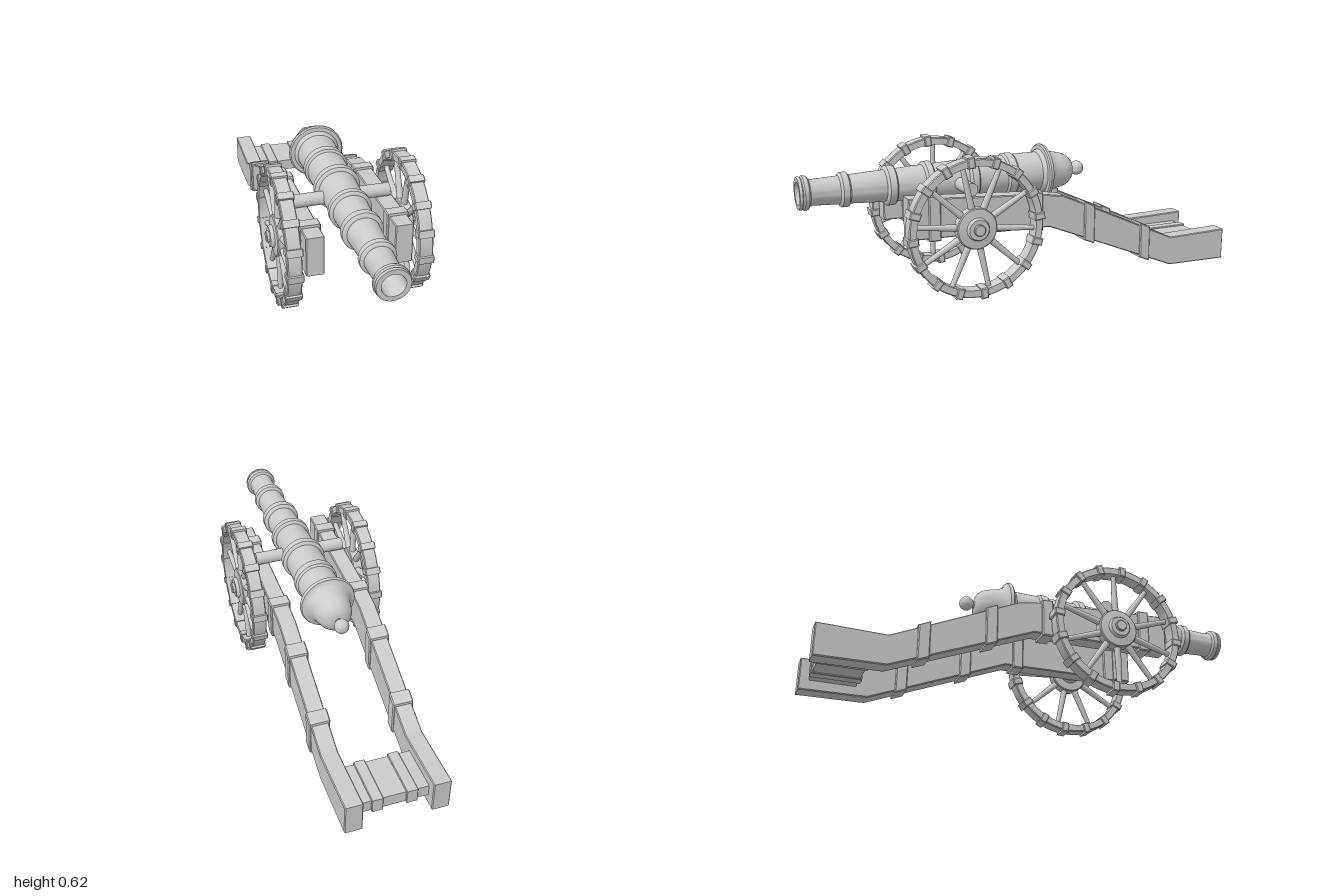
import * as THREE from 'three';
import { toCreasedNormals } from 'three/addons/utils/BufferGeometryUtils.js';

const grey = new THREE.MeshStandardMaterial({ color: 0xcccccc });

function add(parent, geometry, name) {
  const m = new THREE.Mesh(geometry, grey);
  m.name = name;
  parent.add(m);
  return m;
}

const lathe = (pts, segments) =>
  toCreasedNormals(new THREE.LatheGeometry(pts.map(p => new THREE.Vector2(p[0], p[1])), segments), 0.6);

// Extrudes a (z, y) side outline to a width along x, with a small bevel
function sideExtrude(outline, width, bevel) {
  const shape = new THREE.Shape(outline.map(p => new THREE.Vector2(p[0], p[1])));
  const depth = width - 2 * bevel;
  const g = new THREE.ExtrudeGeometry(shape, {
    depth, bevelEnabled: true, bevelSize: bevel, bevelOffset: -bevel, bevelThickness: bevel, bevelSegments: 1
  });
  g.translate(0, 0, -depth / 2);
  g.rotateY(-Math.PI / 2);
  return g;
}

// Height of a (z, y) edge line at a given z
function heightAt(line, z) {
  for (let i = 1; i < line.length; i++) {
    const [z0, y0] = line[i - 1], [z1, y1] = line[i];
    if (z <= z0 && z >= z1) return y0 + (y1 - y0) * (z0 - z) / (z0 - z1);
  }
  return line[line.length - 1][1];
}

// Barrel with breech, reinforcing rings and open bore
function makeBarrel() {
  const barrel = new THREE.Group();
  barrel.name = 'barrel';
  const pts = [];
  // button ball
  for (let i = 0; i <= 8; i++) {
    const a = -Math.PI / 2 + i * 0.33;
    pts.push([Math.max(0, 0.033 * Math.cos(a)), -0.307 + 0.033 * Math.sin(a)]);
  }
  // neck, dome and base ring
  pts.push([0.017, -0.272], [0.03, -0.27], [0.048, -0.264], [0.064, -0.25], [0.076, -0.228],
    [0.083, -0.2], [0.089, -0.17], [0.1, -0.145], [0.113, -0.134], [0.123, -0.132],
    [0.127, -0.125], [0.127, -0.118], [0.121, -0.112], [0.104, -0.11], [0.1, -0.1], [0.092, -0.092]);
  // rings on the tapering tube: centre, half width, body radius, ring radius
  const rings = [[0.05, 0.022, 0.09, 0.098], [0.235, 0.02, 0.087, 0.101], [0.435, 0.018, 0.079, 0.092],
    [0.605, 0.02, 0.071, 0.087], [0.805, 0.018, 0.062, 0.075]];
  for (const [z, h, r, R] of rings) {
    pts.push([r, z - h - 0.004], [R - 0.004, z - h], [R, z - h + 0.005], [R, z + h - 0.005],
      [R - 0.004, z + h], [r - 0.001, z + h + 0.004]);
  }
  // muzzle swell and bore
  pts.push([0.056, 0.94], [0.06, 0.953], [0.071, 0.96], [0.074, 0.968], [0.074, 0.978], [0.067, 0.984],
    [0.071, 0.988], [0.071, 0.997], [0.069, 1.0], [0.049, 1.0], [0.047, 0.995], [0.047, 0.55], [0, 0.55]);
  const tube = lathe(pts, 48);
  tube.rotateX(Math.PI / 2);
  add(barrel, tube, 'barrelTube').position.y = 0.467;
  const trunnions = new THREE.CylinderGeometry(0.029, 0.029, 0.426, 24);
  trunnions.rotateZ(Math.PI / 2);
  add(barrel, trunnions, 'trunnions').position.set(0, 0.462, 0.303);
  return barrel;
}

// Side cheek of the carriage with its iron bands
const cheekTop = [[0.59, 0.452], [-0.02, 0.415], [-0.13, 0.397], [-0.7, 0.14], [-1, 0.147]];
const cheekBottom = [[0.59, 0.272], [-0.06, 0.262], [-0.7, 0.004], [-1, 0]];

function makeCheek() {
  const cheek = new THREE.Group();
  cheek.name = 'cheek';
  add(cheek, sideExtrude([...cheekBottom, ...cheekTop.slice().reverse()].reverse(), 0.078, 0.004), 'cheekBeam');
  for (const z of [0.475, 0, -0.26, -0.555]) {
    const a = z + 0.028, b = z - 0.025;
    const outline = [[a, heightAt(cheekBottom, a) - 0.011], [a, heightAt(cheekTop, a) + 0.012],
      [b, heightAt(cheekTop, b) + 0.012], [b, heightAt(cheekBottom, b) - 0.011]];
    add(cheek, sideExtrude(outline, 0.094, 0.005), 'cheekBand');
  }
  return cheek;
}

// Spoked wheel, axle along x, outer side towards +x
function makeWheel() {
  const wheel = new THREE.Group();
  wheel.name = 'wheel';
  const rim = lathe([[0.269, -0.031], [0.298, -0.031], [0.302, -0.027], [0.302, 0.027],
    [0.298, 0.031], [0.269, 0.031], [0.269, -0.031]], 64);
  rim.rotateZ(-Math.PI / 2);
  add(wheel, rim, 'rim');

  // clamps around the rim
  for (let i = 0; i < 16; i++) {
    const a = THREE.MathUtils.degToRad(-5.5 + i * 22.5);
    const outline = [[-0.016, 0.263], [0.016, 0.263], [0.016, 0.311], [-0.016, 0.311]];
    const clamp = add(wheel, sideExtrude(outline, 0.073, 0.004), 'rimClamp');
    clamp.rotation.x = Math.PI / 2 - a;
  }

  // tapered spokes
  for (let i = 0; i < 10; i++) {
    const g = new THREE.CylinderGeometry(0.011, 0.016, 0.22, 12, 1, true);
    g.translate(0, 0.165, 0);
    const spoke = add(wheel, g, 'spoke');
    spoke.rotation.x = Math.PI / 2 - THREE.MathUtils.degToRad(6 + i * 36);
  }

  // hub with flange, and axle end
  const hub = lathe([[0, -0.043], [0.044, -0.043], [0.047, -0.04], [0.05, -0.026], [0.086, -0.024],
    [0.09, -0.02], [0.09, 0.02], [0.086, 0.024], [0.05, 0.028], [0.047, 0.041], [0.044, 0.044], [0, 0.044]], 40);
  hub.rotateZ(-Math.PI / 2);
  add(wheel, hub, 'hub');
  const axle = lathe([[0, -0.09], [0.025, -0.09], [0.025, 0.054], [0.022, 0.057], [0, 0.057]], 24);
  axle.rotateZ(-Math.PI / 2);
  add(wheel, axle, 'axleEnd');
  return wheel;
}

export function createModel() {
  const model = new THREE.Group();
  model.name = 'fieldCannon';
  model.add(makeBarrel());

  for (const side of [1, -1]) {
    const cheek = makeCheek();
    cheek.position.x = side * 0.1885;
    model.add(cheek);

    // the right wheel is turned about y, then rolled so both wheels match
    const wheel = makeWheel();
    wheel.position.set(side * 0.278, 0.313, 0.313);
    if (side < 0) {
      wheel.rotation.set(THREE.MathUtils.degToRad(11), Math.PI, 0);
    }
    model.add(wheel);
  }

  // rear transom board with two straps
  const transom = new THREE.Group();
  transom.name = 'transom';
  const board = (w, h, d) => sideExtrude([[-d, -h], [d, -h], [d, h], [-d, h]], w, 0.003);
  add(transom, board(0.31, 0.027, 0.102), 'transomBoard');
  for (const side of [1, -1]) {
    add(transom, board(0.05, 0.033, 0.11), 'transomStrap').position.x = side * 0.075;
  }
  transom.position.set(0, 0.073, -0.855);
  model.add(transom);
  return model;
}
